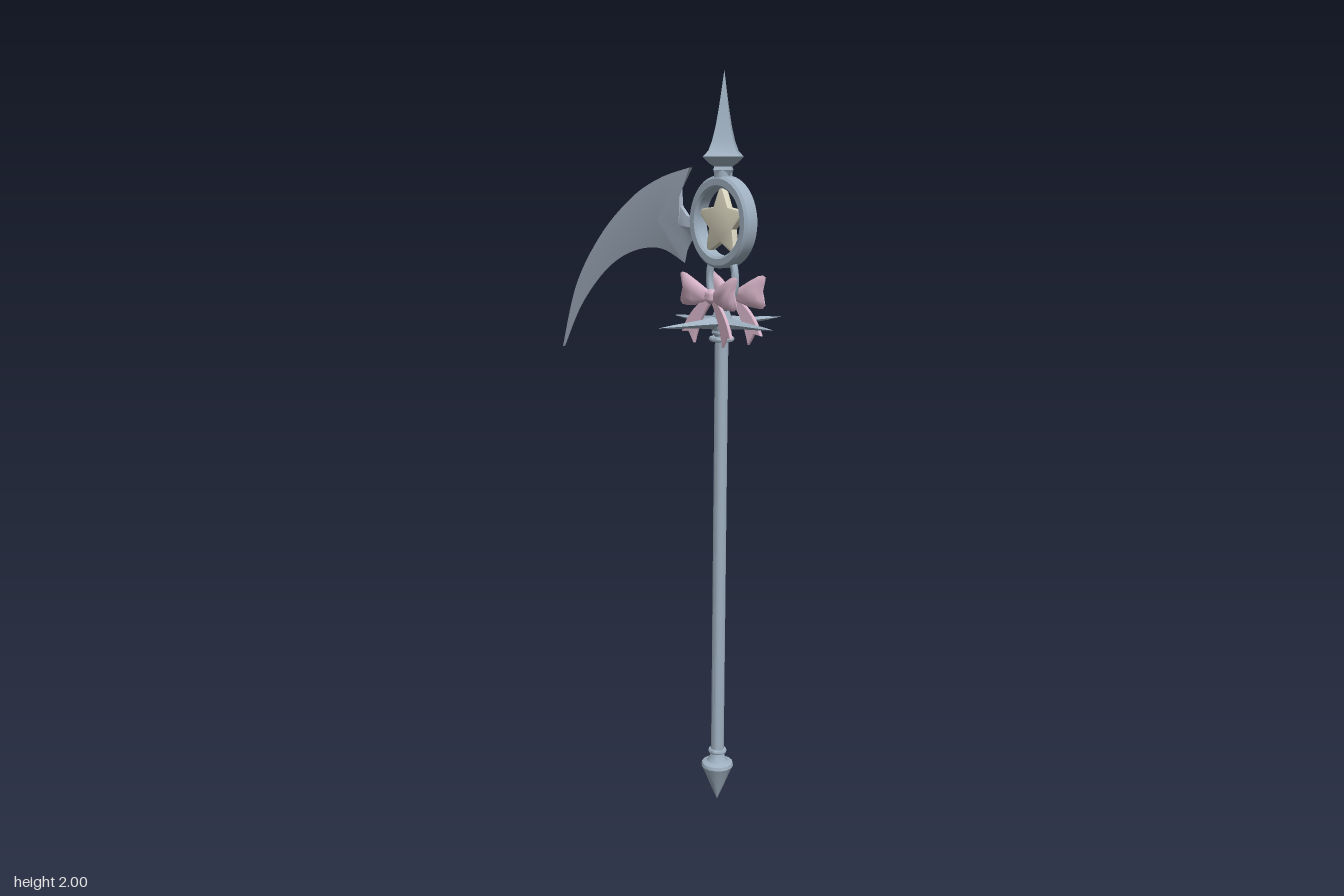
import * as THREE from 'three';
import { toCreasedNormals } from 'three/addons/utils/BufferGeometryUtils.js';

const CX = 0.28; // shaft axis

const steel = new THREE.MeshStandardMaterial({ color: 0x9fb0c0 });
const bladeMat = new THREE.MeshStandardMaterial({ color: 0xa6b3c4 });
const pink = new THREE.MeshStandardMaterial({ color: 0xd9b6ca });
const cream = new THREE.MeshStandardMaterial({ color: 0xdcd8c2 });

function add(parent, name, geo, mat, crease = 0.6) {
  const mesh = new THREE.Mesh(toCreasedNormals(geo, crease), mat);
  mesh.name = name;
  parent.add(mesh);
  return mesh;
}

const v2 = pts => pts.map(p => new THREE.Vector2(p[0], p[1]));
const turned = (pts, sides) => new THREE.LatheGeometry(v2(pts), sides);

// Closed skin over a row of equal-length cross-sections, oriented outward
function loft(rings) {
  const n = rings[0].length, tris = [];
  const last = rings.length - 1;
  for (let i = 0; i < last; i++) {
    for (let j = 0; j < n; j++) {
      const k = (j + 1) % n;
      const a = rings[i][j], b = rings[i][k], c = rings[i + 1][k], d = rings[i + 1][j];
      tris.push([a, b, c], [a, c, d]);
    }
  }
  for (let j = 1; j < n - 1; j++) {
    tris.push([rings[0][0], rings[0][j + 1], rings[0][j]]);
    tris.push([rings[last][0], rings[last][j], rings[last][j + 1]]);
  }
  let volume = 0;
  const cross = new THREE.Vector3();
  for (const [a, b, c] of tris) volume += a.dot(cross.crossVectors(b, c));
  const pos = [];
  for (const [a, b, c] of tris) {
    for (const p of volume > 0 ? [a, b, c] : [a, c, b]) pos.push(p.x, p.y, p.z);
  }
  const geo = new THREE.BufferGeometry();
  geo.setAttribute('position', new THREE.Float32BufferAttribute(pos, 3));
  return geo;
}

function bladeGeometry() {
  const curve = pts => new THREE.SplineCurve(v2(pts)).getPoints(28);
  const outer = curve([[-0.497, 1.208], [-0.415, 1.405], [-0.28, 1.56], [-0.125, 1.67], [0.01, 1.727], [0.145, 1.757]]);
  const mid = curve([[-0.492, 1.209], [-0.4, 1.38], [-0.28, 1.505], [-0.14, 1.588], [-0.03, 1.613], [0.015, 1.615]]);
  const inner = curve([[-0.486, 1.21], [-0.39, 1.345], [-0.257, 1.46], [-0.125, 1.521], [0.01, 1.538], [0.12, 1.505]]);
  // Notched root behind the two horns
  const root = [
    [[0.101, 1.70], [0.07, 1.612], [0.13, 1.537]],
    [[0.106, 1.655], [0.105, 1.605], [0.14, 1.552]],
    [[0.135, 1.63], [0.14, 1.602], [0.155, 1.57]],
    [[0.185, 1.626], [0.185, 1.60], [0.185, 1.57]]
  ];
  for (const r of root) [outer, mid, inner].forEach((c, i) => c.push(new THREE.Vector2(...r[i])));
  return loft(outer.map((o, i) => {
    const t = 0.0015 + 0.0085 * Math.min(1, i / 26);
    const m = mid[i], e = inner[i];
    const at = (p, z) => new THREE.Vector3(p.x, p.y, z);
    return [at(o, t * 0.5), at(m, t), at(e, 0.0008), at(e, -0.0008), at(m, -t), at(o, -t * 0.5)];
  }));
}

// Bow loop on the +x side: x, centre y, half height, half thickness, z
function bowLoop() {
  const sections = [
    [0.008, 0.0, 0.012, 0.007, 0.034], [0.03, 0.002, 0.022, 0.012, 0.038],
    [0.06, 0.007, 0.034, 0.015, 0.043], [0.09, 0.013, 0.042, 0.014, 0.046],
    [0.108, 0.015, 0.043, 0.009, 0.047], [0.118, 0.017, 0.036, 0.002, 0.047]
  ];
  return loft(sections.map(([x, y, h, t, z]) => Array.from({ length: 12 }, (_, k) => {
    const a = k / 12 * Math.PI * 2;
    // the outer edge dips in at its middle
    const dip = x > 0.1 ? 0.012 * (1 - Math.abs(Math.sin(a))) : 0;
    return new THREE.Vector3(x - dip, y + h * Math.sin(a), z + t * Math.cos(a));
  })));
}

// Notched ribbon end, curving outward as it falls
function bowTail() {
  const shape = new THREE.Shape();
  shape.moveTo(0.004, 0.0);
  shape.quadraticCurveTo(0.07, -0.03, 0.1, -0.098);
  shape.lineTo(0.077, -0.095);
  shape.lineTo(0.06, -0.124);
  shape.quadraticCurveTo(0.045, -0.06, 0.0, -0.012);
  const geo = new THREE.ExtrudeGeometry(shape, {
    depth: 0.006, curveSegments: 8, bevelThickness: 0.002, bevelSize: 0.002, bevelSegments: 1
  });
  const p = geo.attributes.position;
  for (let i = 0; i < p.count; i++) p.setZ(i, p.getZ(i) + 0.03 + 0.17 * p.getX(i));
  return geo;
}

export function createModel() {
  const model = new THREE.Group();
  model.name = 'scythe';

  const staff = new THREE.Group();
  staff.name = 'staff';
  staff.position.x = CX;
  model.add(staff);

  // Shaft and its collars
  const shaft = add(staff, 'shaft', new THREE.CylinderGeometry(0.018, 0.018, 1.24, 16), steel);
  shaft.position.y = 0.76;
  for (const [y, r] of [[0.152, 0.026], [1.317, 0.034], [1.334, 0.027]]) {
    const collar = add(staff, 'collar', new THREE.TorusGeometry(r - 0.007, 0.007, 8, 20), steel, 1);
    collar.rotation.x = Math.PI / 2;
    collar.position.y = y;
  }
  add(staff, 'pommel', turned([[0, 0.003], [0.02, 0.05], [0.036, 0.09], [0.045, 0.108], [0.043, 0.117],
    [0.029, 0.122], [0.022, 0.132], [0.018, 0.15]], 16), steel);

  // Four-pointed guard
  add(staff, 'guardHub', turned([[0, 1.32], [0.02, 1.325], [0.026, 1.345], [0.028, 1.36],
    [0.026, 1.375], [0.018, 1.395], [0.015, 1.41], [0, 1.42]], 16), steel, 1);
  const spikeProfile = [[0.026, 0], [0.023, 0.03], [0.016, 0.07], [0.0115, 0.11], [0.007, 0.16], [0, 0.207]];
  for (let i = 0; i < 4; i++) {
    const arm = new THREE.Group();
    arm.name = 'guardArm';
    arm.position.y = 1.36;
    arm.rotation.y = i * Math.PI / 2;
    const spike = add(arm, 'guardSpike', turned(spikeProfile, 4), steel);
    spike.rotation.z = -Math.PI / 2;
    spike.scale.x = 0.7;
    staff.add(arm);
  }

  // Fork carrying the ring
  for (const s of [-1, 1]) {
    const path = new THREE.CatmullRomCurve3([[0, 1.39], [0.028, 1.41], [0.05, 1.45], [0.052, 1.485], [0.042, 1.525]]
      .map(([x, y]) => new THREE.Vector3(s * x, y, 0)));
    add(staff, 'fork', new THREE.TubeGeometry(path, 16, 0.01, 8), steel, 1);
  }

  // Ring with a star inside
  const ring = add(staff, 'ring', turned([[0.088, -0.016], [0.094, -0.022], [0.111, -0.022], [0.118, -0.016],
    [0.118, 0.016], [0.111, 0.022], [0.094, 0.022], [0.088, 0.016], [0.088, -0.016]], 48), steel);
  ring.rotation.x = Math.PI / 2;
  ring.position.y = 1.62;

  const star = new THREE.Shape();
  const corner = (k, r, da = 0) => {
    const a = Math.PI / 2 + k * Math.PI / 5 + da;
    return [r * Math.cos(a), r * Math.sin(a)];
  };
  star.moveTo(...corner(0, 0.078, -0.09));
  for (let k = 0; k < 10; k += 2) {
    star.quadraticCurveTo(...corner(k, 0.09), ...corner(k, 0.078, 0.09));
    star.lineTo(...corner(k + 1, 0.045));
    star.lineTo(...corner(k + 2, 0.078, -0.09));
  }
  const starMesh = add(staff, 'star', new THREE.ExtrudeGeometry(star, {
    depth: 0.012, curveSegments: 5, bevelThickness: 0.004, bevelSize: 0.004, bevelSegments: 2
  }), cream);
  starMesh.position.set(0, 1.618, -0.006);

  // Four-sided spear point
  add(staff, 'spearPoint', turned([[0.02, 1.73], [0.034, 1.752], [0.03, 1.76], [0.046, 1.768], [0.068, 1.785],
    [0.05, 1.8], [0.038, 1.825], [0.027, 1.86], [0.016, 1.91], [0.007, 1.96], [0, 2]], 4), steel);
  const neck = add(staff, 'spearNeck', new THREE.CylinderGeometry(0.024, 0.024, 0.02, 16), steel);
  neck.position.y = 1.743;

  // Bows on both faces; every mirrored half reuses the +x half
  for (const face of [0, 1]) {
    const bow = new THREE.Group();
    bow.name = face ? 'backBow' : 'frontBow';
    bow.position.y = 1.43;
    bow.rotation.y = face * Math.PI;
    for (const s of [1, -1]) {
      add(bow, 'bowLoop', bowLoop(), pink, 0.9).scale.x = s;
      add(bow, 'bowTail', bowTail(), pink).scale.x = s;
    }
    const knot = add(bow, 'bowKnot', new THREE.SphereGeometry(0.02, 14, 10), pink, 1);
    knot.position.z = 0.036;
    knot.scale.z = 0.8;
    staff.add(bow);
  }

  add(model, 'blade', bladeGeometry(), bladeMat, 0.35);
  return model;
}
